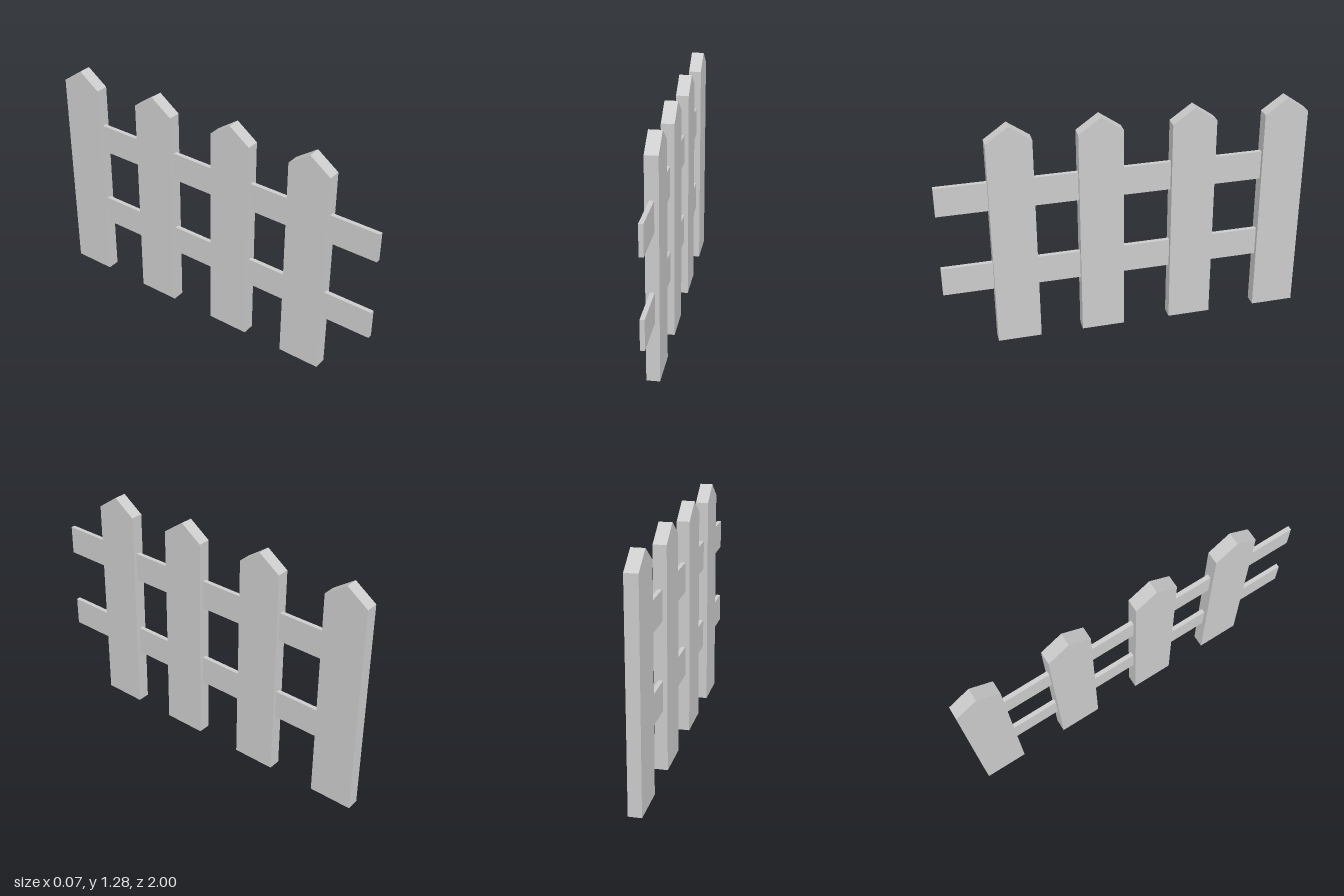
import * as THREE from 'three';

const material = new THREE.MeshStandardMaterial({ color: 0xcccccc, flatShading: true });

// Pointed board, standing on y = 0, with its broad sides facing +x and -x
function picketGeometry(width, shoulder, peak, thickness) {
  const w = width / 2;
  const shape = new THREE.Shape([
    new THREE.Vector2(-w, 0),
    new THREE.Vector2(w, 0),
    new THREE.Vector2(w, shoulder),
    new THREE.Vector2(0, peak),
    new THREE.Vector2(-w, shoulder),
  ]);
  return new THREE.ExtrudeGeometry(shape, { depth: thickness, bevelEnabled: false })
    .translate(0, 0, -thickness / 2)
    .rotateY(Math.PI / 2);
}

export function createModel() {
  const fence = new THREE.Group();
  fence.name = 'picketFence';

  // Four pickets, front to back
  const picket = picketGeometry(0.24, 1.195, 1.28, 0.07);
  [0.605, 0.13, -0.372, -0.88].forEach((z, i) => {
    const mesh = new THREE.Mesh(picket, material);
    mesh.name = `picket${i + 1}`;
    mesh.position.z = z;
    fence.add(mesh);
  });

  // Two rails, overhanging at the front and ending inside the last picket
  const front = 1, back = -0.8;
  const rail = new THREE.BoxGeometry(0.024, 0.163, front - back);
  for (const [name, y] of [['lowerRail', 0.413], ['upperRail', 0.891]]) {
    const mesh = new THREE.Mesh(rail, material);
    mesh.name = name;
    mesh.position.set(0, y, (front + back) / 2);
    fence.add(mesh);
  }

  return fence;
}
